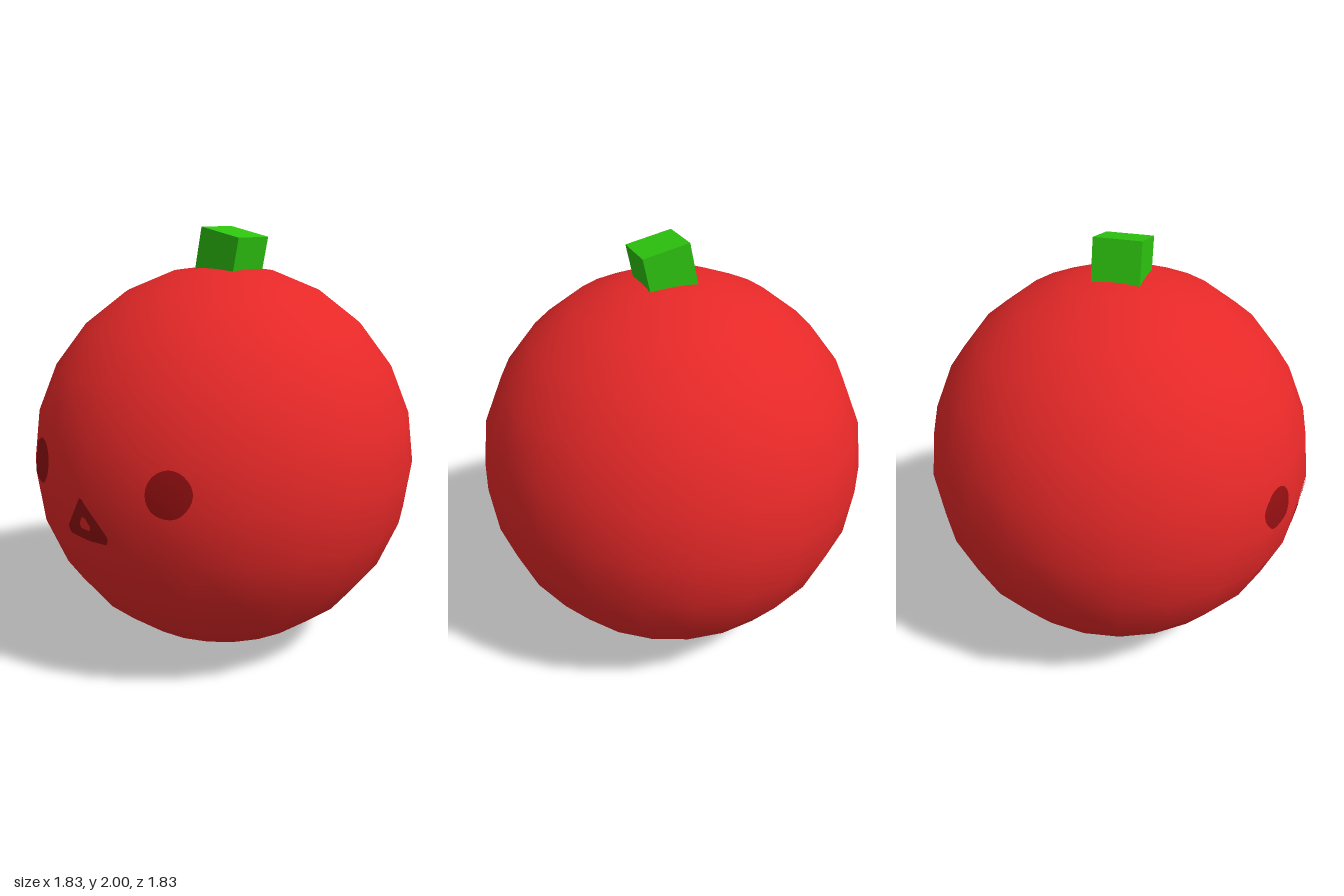
import * as THREE from 'three';

const R = 0.915;
const red = new THREE.MeshStandardMaterial({ name: 'bright red', color: 0xe62828 });
const darkRed = new THREE.MeshStandardMaterial({ name: 'dark red', color: 0x940f11 });
const green = new THREE.MeshStandardMaterial({ name: 'leaf green', color: 0x2dc40f });

// Splits every edge of a closed outline into n equal steps
function subdivide(points, n) {
  const out = [];
  points.forEach(([x, y], i) => {
    const [u, v] = points[(i + 1) % points.length];
    for (let k = 0; k < n; k++) out.push([x + (u - x) * k / n, y + (v - y) * k / n]);
  });
  return out;
}

// Thin painted patch between two outlines, dropped along z onto the faceted body
function patch(name, body, inner, outer, rings = 8) {
  const pos = [], norm = [], index = [], n = outer.length;
  const ray = new THREE.Raycaster();
  const down = new THREE.Vector3(0, 0, -1);
  for (let r = 0; r <= rings; r++) {
    for (let i = 0; i < n; i++) {
      const t = r / rings;
      const x = inner[i][0] + (outer[i][0] - inner[i][0]) * t;
      const y = inner[i][1] + (outer[i][1] - inner[i][1]) * t - R;
      ray.set(new THREE.Vector3(x, y, 2), down);
      const p = ray.intersectObject(body)[0].point;
      const dir = p.clone().normalize();
      p.addScaledVector(dir, 0.004);
      pos.push(p.x, p.y, p.z);
      norm.push(dir.x, dir.y, dir.z);
      if (r < rings) {
        const a = r * n + i, b = r * n + (i + 1) % n;
        index.push(a, a + n, b, b, a + n, b + n);
      }
    }
  }
  const geo = new THREE.BufferGeometry();
  geo.setAttribute('position', new THREE.Float32BufferAttribute(pos, 3));
  geo.setAttribute('normal', new THREE.Float32BufferAttribute(norm, 3));
  geo.setIndex(index);
  const mesh = new THREE.Mesh(geo, darkRed);
  mesh.name = name;
  return mesh;
}

export function createModel() {
  const model = new THREE.Group();
  model.name = 'fruit';
  const head = new THREE.Group();
  head.name = 'head';

  // Round body
  const body = new THREE.Mesh(new THREE.SphereGeometry(R, 24, 12), red);
  body.name = 'body';
  head.add(body);

  // Eyes, counter-clockwise ovals
  for (const side of [-1, 1]) {
    const cx = side * 0.382, cy = 0.99, oval = [], centre = [];
    for (let i = 0; i < 40; i++) {
      const a = i / 40 * Math.PI * 2;
      oval.push([cx + Math.cos(a) * 0.09, cy + Math.sin(a) * 0.099]);
      centre.push([cx, cy]);
    }
    head.add(patch(side > 0 ? 'leftEye' : 'rightEye', body, centre, oval));
  }

  // Mouth, a rounded triangle ring
  const outer = [[-0.012, 0.915], [-0.03, 0.915], [-0.143, 0.765], [-0.143, 0.745],
    [-0.13, 0.727], [0.09, 0.727], [0.1, 0.745], [0.1, 0.765]];
  const inner = [[-0.008, 0.83], [-0.032, 0.83], [-0.052, 0.8], [-0.054, 0.79],
    [-0.048, 0.775], [0.008, 0.775], [0.014, 0.79], [0.012, 0.8]];
  head.add(patch('mouth', body, subdivide(inner, 8), subdivide(outer, 8)));
  head.position.y = R;
  model.add(head);

  // Tilted stem
  const stem = new THREE.Mesh(new THREE.BoxGeometry(0.22, 0.22, 0.22), green);
  stem.name = 'stem';
  stem.position.set(0.045, 1.87, 0);
  stem.rotation.z = -0.21;
  model.add(stem);
  return model;
}
